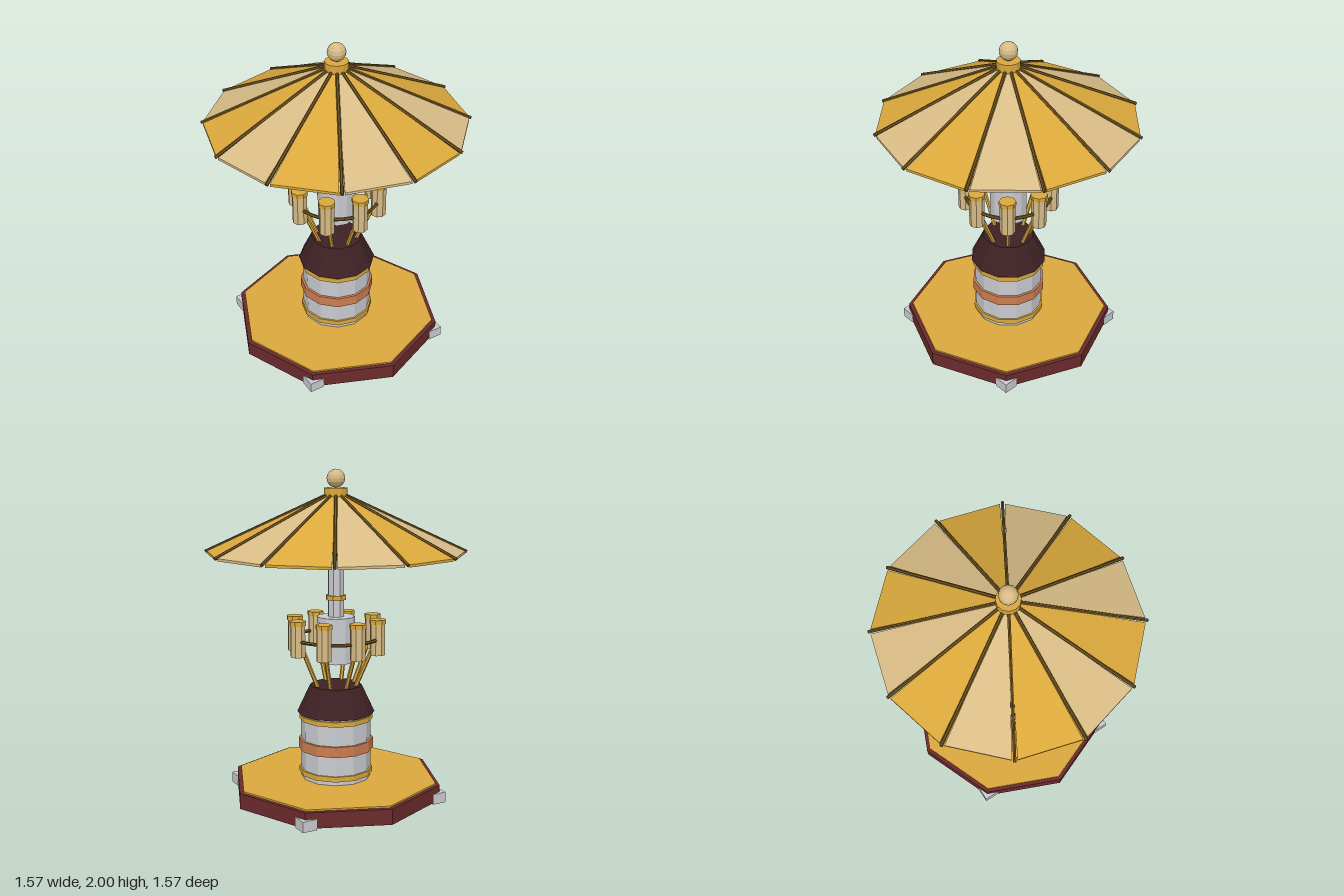
import * as THREE from 'three';

const mat = (name, color) => {
  const m = new THREE.MeshStandardMaterial({ color, flatShading: true });
  m.name = name;
  return m;
};

export function createModel() {
  const gold = mat('gold', 0xdaa83c);
  const tan = mat('tan cloth', 0xd8bc86);
  const steel = mat('light grey metal', 0xc9cbd0);
  const bronze = mat('dark bronze', 0x6e521e);
  const copper = mat('copper', 0xcb7d50);
  const maroon = mat('maroon', 0x6b2a2c);
  const dark = mat('dark brown', 0x3e2124);

  const model = new THREE.Group();
  model.name = 'parasolTower';

  const add = (name, geometry, material) => {
    const mesh = new THREE.Mesh(geometry, material);
    mesh.name = name;
    model.add(mesh);
    return mesh;
  };
  // upright cylinder or cone between two heights
  const column = (name, rTop, rBottom, y0, y1, sides, material) => {
    const mesh = add(name, new THREE.CylinderGeometry(rTop, rBottom, y1 - y0, sides), material);
    mesh.position.y = (y0 + y1) / 2;
    return mesh;
  };
  // point at an angle from +z towards +x
  const polar = (r, y, a) => new THREE.Vector3(r * Math.sin(a), y, r * Math.cos(a));
  // straight rod between two points
  const rod = (name, a, b, radius, material) => {
    const mesh = add(name, new THREE.CylinderGeometry(radius, radius, a.distanceTo(b), 6), material);
    mesh.position.copy(a).add(b).multiplyScalar(0.5);
    mesh.quaternion.setFromUnitVectors(new THREE.Vector3(0, 1, 0), b.clone().sub(a).normalize());
    return mesh;
  };

  // base with feet
  column('base', 0.655, 0.655, 0.01, 0.105, 8, maroon);
  column('deck', 0.63, 0.63, 0.1, 0.115, 8, gold);
  for (const x of [-1, 1]) for (const z of [-1, 1]) {
    add('foot', new THREE.BoxGeometry(0.09, 0.065, 0.09), steel).position.set(x * 0.445, 0.0325, z * 0.445);
  }

  // drum, its bands and the dark collar
  column('drum', 0.215, 0.215, 0.11, 0.525, 12, steel);
  column('lowerBand', 0.226, 0.226, 0.14, 0.172, 12, gold);
  column('middleBand', 0.23, 0.23, 0.295, 0.36, 12, copper);
  column('upperBand', 0.226, 0.226, 0.483, 0.513, 12, gold);
  column('collar', 0.158, 0.238, 0.525, 0.695, 12, dark);

  // ring of canisters on slanted arms
  for (let i = 0; i < 8; i++) {
    const a = i * Math.PI / 4;
    rod('arm', polar(0.105, 0.64, a), polar(0.24, 0.96, a), 0.013, gold);
    const p = polar(0.26, 0, a);
    for (const part of [
      column('canister', 0.046, 0.046, 0.895, 1.088, 8, tan),
      column('canisterCap', 0.051, 0.051, 1.086, 1.112, 8, gold),
    ]) {
      part.position.x = p.x;
      part.position.z = p.z;
    }
  }
  const ring = add('canisterRing', new THREE.TorusGeometry(0.26, 0.011, 6, 32), bronze);
  ring.rotation.x = Math.PI / 2;
  ring.position.y = 0.99;

  // mast
  column('mastSocket', 0.115, 0.115, 0.84, 1.12, 12, steel);
  column('mast', 0.05, 0.05, 1.1, 1.85, 8, steel);
  column('mastBand', 0.062, 0.062, 1.222, 1.25, 8, gold);

  // canopy: twelve thin sloping panels, each a box bent into a wedge
  const step = Math.PI / 6, gap = 0.019;
  for (let i = 0; i < 12; i++) {
    const geo = new THREE.BoxGeometry(1, 1, 1);
    const pos = geo.attributes.position;
    for (let v = 0; v < pos.count; v++) {
      const outer = pos.getZ(v) > 0;
      const a = (i + 0.5) * step + pos.getX(v) * (step - 2 * gap);
      const p = polar(outer ? 0.77 : 0.05, (outer ? 1.508 : 1.84) + pos.getY(v) * 0.015, a);
      pos.setXYZ(v, p.x, p.y, p.z);
    }
    geo.computeVertexNormals();
    add('canopyPanel', geo, i % 2 ? tan : gold);
    rod('canopyRib', polar(0.05, 1.85, i * step), polar(0.782, 1.512, i * step), 0.01, bronze);
    // struts under every second rib
    if (i % 2 === 0) rod('strut', polar(0.04, 1.575, i * step), polar(0.41, 1.672, i * step), 0.009, steel);
  }

  // hub and finial
  column('hub', 0.07, 0.07, 1.835, 1.89, 12, gold);
  add('finial', new THREE.SphereGeometry(0.055, 12, 8), tan).position.y = 1.945;

  return model;
}
